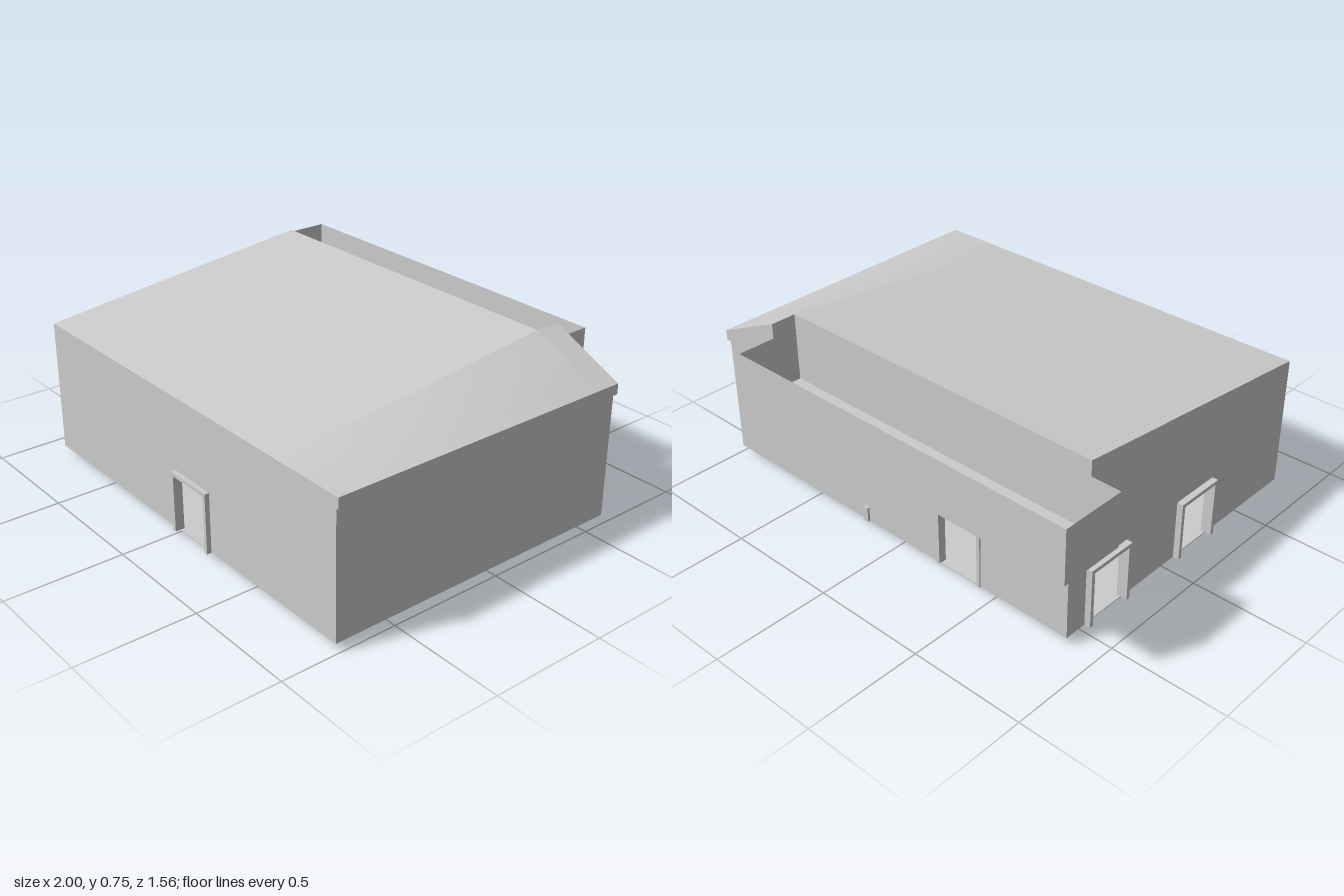
import * as THREE from 'three';

const mat = new THREE.MeshStandardMaterial({ color: 0xcccccc, side: THREE.DoubleSide });

// Main levels and extents
const L = -0.87, R = 0.99, F = 0.76, B = -0.6;
const FLOOR = 0.035, EAVE = 0.565, SLAB = 0.61, RIDGE = 0.755;
const HIP = 0.68, RIDGE_Z = -0.495, BACK_Z = -0.61, GUTTER = 0.455;
const DOOR_W = 0.23, DOOR_TOP = 0.295, TRIM = 0.016;

const poly = (pts) => new THREE.Shape(pts.map(([x, y]) => new THREE.Vector2(x, y)));

function add(parent, name, geometry) {
  const mesh = new THREE.Mesh(geometry, mat);
  mesh.name = name;
  parent.add(mesh);
  return mesh;
}

// Flat-shaded surface from a list of polygons, each given as 3D corners
function faces(list) {
  const pos = [];
  for (const f of list) {
    for (let i = 1; i < f.length - 1; i++) pos.push(...f[0], ...f[i], ...f[i + 1]);
  }
  const g = new THREE.BufferGeometry();
  g.setAttribute('position', new THREE.Float32BufferAttribute(pos, 3));
  g.computeVertexNormals();
  return g;
}

// Thin wall with door openings, plus a projecting frame around each opening
function wall(name, outline, doors, frameStart, frameDepth) {
  const group = new THREE.Group();
  group.name = name;
  const shape = poly(outline);
  const lo = FLOOR + 0.004;
  for (const c of doors) {
    const w = DOOR_W / 2 - TRIM, h = DOOR_TOP - TRIM, o = DOOR_W / 2;
    shape.holes.push(poly([[c - w, lo], [c - w, h], [c + w, h], [c + w, lo]]));
    const frame = poly([
      [c - o, FLOOR], [c - w, FLOOR], [c - w, h], [c + w, h],
      [c + w, FLOOR], [c + o, FLOOR], [c + o, DOOR_TOP], [c - o, DOOR_TOP],
    ]);
    const g = new THREE.ExtrudeGeometry(frame, { depth: frameDepth, bevelEnabled: false });
    add(group, 'doorFrame', g.translate(0, 0, frameStart));
  }
  add(group, name + 'Panel', new THREE.ShapeGeometry(shape));
  return group;
}

export function createModel() {
  const model = new THREE.Group();
  model.name = 'house';

  // Walls
  const front = wall('frontWall', [[L, FLOOR], [R, FLOOR], [R, EAVE], [L, EAVE]], [0.135], -0.02, 0.04);
  front.position.z = F;
  const back = wall('backWall',
    [[L, FLOOR], [R, FLOOR], [R, EAVE], [HIP, EAVE], [HIP, GUTTER], [L, GUTTER]], [-0.33], -0.006, 0.035);
  back.position.z = B;
  const left = wall('sideWallWithDoors',
    [[B, FLOOR], [F, FLOOR], [F, EAVE], [RIDGE_Z, EAVE], [RIDGE_Z, GUTTER], [B, GUTTER]],
    [0.155, -0.385], -0.02, 0.047);
  left.position.x = L;
  left.rotation.y = -Math.PI / 2;
  const right = wall('plainSideWall', [[B, FLOOR], [F, FLOOR], [F, EAVE], [B, EAVE]], [], 0, 0);
  right.position.x = R;
  right.rotation.y = -Math.PI / 2;
  model.add(front, back, left, right);

  // Floor and the small post on the back wall
  add(model, 'floor', new THREE.PlaneGeometry(R - L, F - B)
    .rotateX(-Math.PI / 2).translate((L + R) / 2, FLOOR, (F + B) / 2));
  add(model, 'post', new THREE.BoxGeometry(0.025, 0.065, 0.02).translate(0.183, 0.068, B));

  // Sunken basin under the floor, stepped inwards ring by ring
  const rings = [[0, FLOOR], [0.03, 0.018], [0.055, 0.009], [0.085, 0]].map(([inset, y]) => {
    const x0 = 0.21 + inset, x1 = R - inset, z0 = B + inset, z1 = 0.1 - inset;
    return [[x0, y, z0], [x1, y, z0], [x1, y, z1], [x0, y, z1]];
  });
  const basin = [rings[3]];
  for (let r = 0; r < 3; r++) {
    for (let i = 0; i < 4; i++) {
      const j = (i + 1) % 4;
      basin.push([rings[r][i], rings[r][j], rings[r + 1][j], rings[r + 1][i]]);
    }
  }
  add(model, 'basin', faces(basin));

  // Eave slab, cut back where the rear trough sits
  const slab = poly([[L, -F], [1, -F], [1, -BACK_Z], [HIP, -BACK_Z], [HIP, -RIDGE_Z], [L, -RIDGE_Z]]);
  add(model, 'eaveSlab', new THREE.ExtrudeGeometry(slab, { depth: SLAB - EAVE, bevelEnabled: false })
    .rotateX(-Math.PI / 2).translate(0, EAVE, 0));

  // Single-pitch roof with its gable end, rear face and hip tail
  const ridgeL = [L, RIDGE, RIDGE_Z], ridgeR = [HIP, RIDGE, RIDGE_Z], tail = [HIP, RIDGE, BACK_Z];
  const eaveL = [L, SLAB, F], eaveR = [HIP, SLAB, F];
  add(model, 'roof', faces([
    [eaveL, eaveR, ridgeR, ridgeL],
    [[L, SLAB, RIDGE_Z], eaveL, ridgeL],
    [[HIP, SLAB, RIDGE_Z], [L, SLAB, RIDGE_Z], ridgeL, ridgeR],
    [ridgeR, [1, SLAB, RIDGE_Z], [1, SLAB, BACK_Z], tail],
    [[1, SLAB, BACK_Z], [HIP, SLAB, BACK_Z], tail],
    [[HIP, SLAB, BACK_Z], [HIP, SLAB, RIDGE_Z], ridgeR, tail],
  ]));

  // Warped hip between the pitch and the side eave
  const hip = new THREE.PlaneGeometry(1, 1, 6, 10);
  const p = hip.attributes.position;
  for (let i = 0; i < p.count; i++) {
    const u = p.getX(i) + 0.5, v = p.getY(i) + 0.5;
    p.setXYZ(i, HIP + u * (1 - HIP), SLAB + (RIDGE - SLAB) * v * (1 - u), F + v * (RIDGE_Z - F));
  }
  hip.computeVertexNormals();
  add(model, 'roofHip', hip);

  // Open-topped trough along the back
  const base = [[-1, RIDGE_Z], [HIP, RIDGE_Z], [HIP, -0.78], [-1, -0.78]];
  const trough = [base.map(([x, z]) => [x, GUTTER, z]).reverse()];
  base.forEach(([x, z], i) => {
    const [x2, z2] = base[(i + 1) % 4];
    trough.push([[x, GUTTER, z], [x2, GUTTER, z2], [x2, 0.69, z2], [x, 0.69, z]]);
  });
  add(model, 'rearTrough', faces(trough));

  return model;
}
